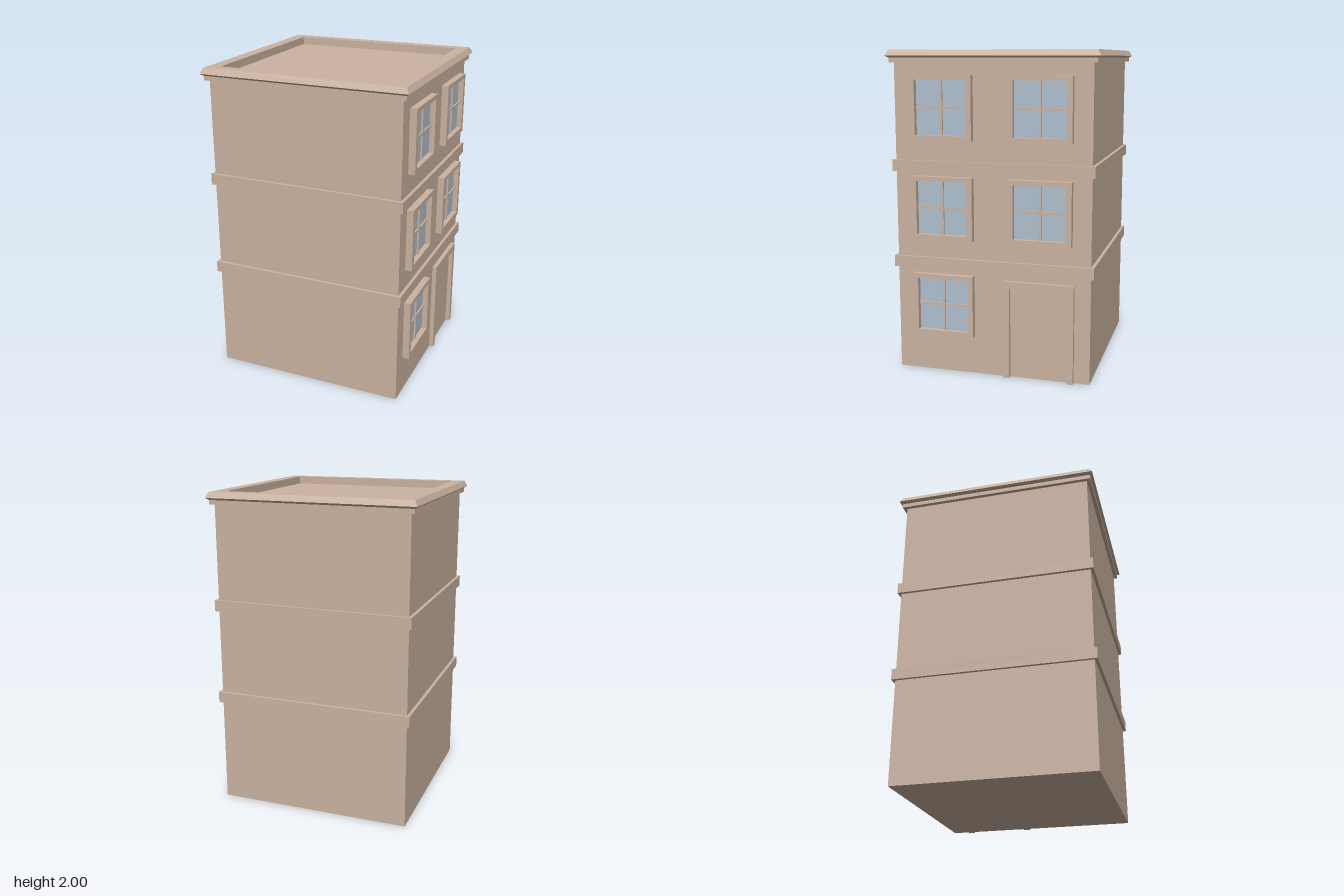
import * as THREE from 'three';
import { toCreasedNormals } from 'three/addons/utils/BufferGeometryUtils.js';

const HALF = 0.613; // half width of the walls

export function createModel() {
  const stone = new THREE.MeshStandardMaterial({ color: 0xcbb3a1 });
  stone.name = 'tan stone';
  const glass = new THREE.MeshStandardMaterial({ color: 0xafc0cf });
  glass.name = 'blue glass';

  const model = new THREE.Group();
  model.name = 'building';

  const add = (parent, name, geometry, material, x = 0, y = 0, z = 0) => {
    const mesh = new THREE.Mesh(geometry, material);
    mesh.name = name;
    mesh.position.set(x, y, z);
    parent.add(mesh);
    return mesh;
  };
  const box = (w, h, d) => new THREE.BoxGeometry(w, h, d);

  // Walls with the flat roof deck on top
  add(model, 'walls', box(HALF * 2, 1.95, HALF * 2), stone, 0, 0.975, 0);

  // String courses between the floors
  for (const y of [0.697, 1.3]) {
    add(model, 'floorBand', box(1.265, 0.07, 1.265), stone, 0, y, 0);
  }

  // Square cornice and parapet: a profile swept around four sides
  const profile = [
    [0.61, 1.925], [0.637, 1.925], [0.637, 1.952], [0.655, 1.965],
    [0.637, 2], [0.563, 2], [0.563, 1.948],
  ].map(([r, y]) => new THREE.Vector2(r * Math.SQRT2, y));
  const cornice = toCreasedNormals(new THREE.LatheGeometry(profile, 4, Math.PI / 4), 0.1);
  add(model, 'cornice', cornice, stone);

  // Windows, built facing +z and turned to the +x facade
  const frameShape = new THREE.Shape();
  frameShape.moveTo(-0.195, -0.195).lineTo(0.195, -0.195).lineTo(0.195, 0.195).lineTo(-0.195, 0.195).closePath();
  const opening = new THREE.Path();
  opening.moveTo(-0.162, -0.165).lineTo(-0.162, 0.168).lineTo(0.162, 0.168).lineTo(0.162, -0.165).closePath();
  frameShape.holes.push(opening);
  const frame = new THREE.ExtrudeGeometry(frameShape, { depth: 0.043, bevelEnabled: false });

  const addWindow = (y, z) => {
    const win = new THREE.Group();
    win.name = 'window';
    add(win, 'windowFrame', frame, stone);
    add(win, 'pane', box(0.324, 0.333, 0.008), glass, 0, 0.0015, 0.005);
    add(win, 'verticalBar', box(0.013, 0.333, 0.012), stone, 0, 0.0015, 0.014);
    add(win, 'horizontalBar', box(0.324, 0.013, 0.011), stone, 0, 0.0015, 0.014);
    win.rotation.y = Math.PI / 2;
    win.position.set(HALF - 0.001, y, z);
    model.add(win);
  };
  for (const y of [0.435, 1.046, 1.656]) {
    addWindow(y, 0.308);
    if (y > 0.5) addWindow(y, -0.304);
  }

  // Door surround: two posts and a lintel in one outline
  const surround = new THREE.Shape();
  surround.moveTo(-0.22, 0).lineTo(-0.18, 0).lineTo(-0.18, 0.573).lineTo(0.18, 0.573)
    .lineTo(0.18, 0).lineTo(0.22, 0).lineTo(0.22, 0.615).lineTo(-0.22, 0.615).closePath();
  const door = add(model, 'doorSurround',
    new THREE.ExtrudeGeometry(surround, { depth: 0.029, bevelEnabled: false }),
    stone, HALF - 0.001, 0, -0.295);
  door.rotation.y = Math.PI / 2;

  return model;
}
